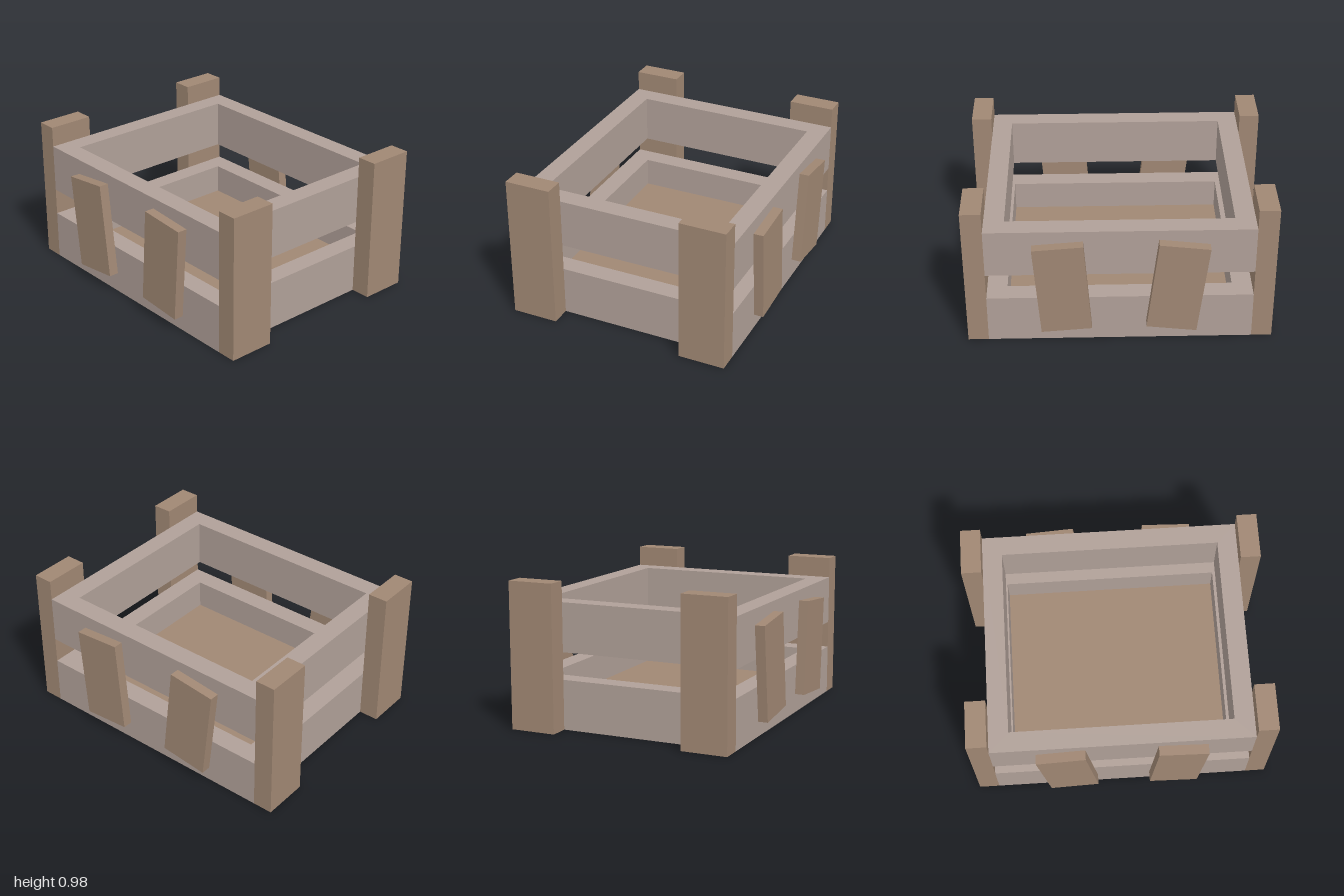
import * as THREE from 'three';

export function createModel() {
  const crate = new THREE.Group();
  crate.name = 'crate';

  const brownWood = new THREE.MeshStandardMaterial({ color: 0xa08773 });
  brownWood.name = 'brown wood';
  const greyWood = new THREE.MeshStandardMaterial({ color: 0xb0a098 });
  greyWood.name = 'grey wood';

  function add(name, geometry, material, x, y, z) {
    const mesh = new THREE.Mesh(geometry, material);
    mesh.name = name;
    mesh.position.set(x, y, z);
    crate.add(mesh);
    return mesh;
  }

  // Rectangular ring of boards, open in the middle
  function frame(name, bottom, top) {
    const rect = (Type, x, z) => new Type([[-x, -z], [x, -z], [x, z], [-x, z]]
      .map(([a, b]) => new THREE.Vector2(a, b)));
    const shape = rect(THREE.Shape, 0.76, 0.866);
    shape.holes.push(rect(THREE.Path, 0.628, 0.734));
    const geometry = new THREE.ExtrudeGeometry(shape, { depth: top - bottom, bevelEnabled: false });
    geometry.rotateX(-Math.PI / 2);
    add(name, geometry, greyWood, 0, bottom, 0);
  }
  frame('lowerFrame', 0, 0.333);
  frame('upperFrame', 0.515, 0.842);

  // Floor panel inside the lower frame
  add('floor', new THREE.BoxGeometry(1.256, 0.13, 1.468), brownWood, 0, 0.065, 0);

  // Corner posts on the front and back, tilted slats on the sides
  for (const side of [1, -1]) {
    for (const end of [1, -1]) {
      add('cornerPost', new THREE.BoxGeometry(0.312, 0.98, 0.134), brownWood,
        side * 0.604, 0.49, end * 0.933);
    }
    const slat = new THREE.BoxGeometry(0.066, 0.642, 0.328);
    add('frontSlat', slat, brownWood, side * 0.793, 0.437, 0.374).rotation.x = 0.075;
    add('backSlat', slat, brownWood, side * 0.793, 0.437, -0.37).rotation.x = -0.117;
  }

  return crate;
}
